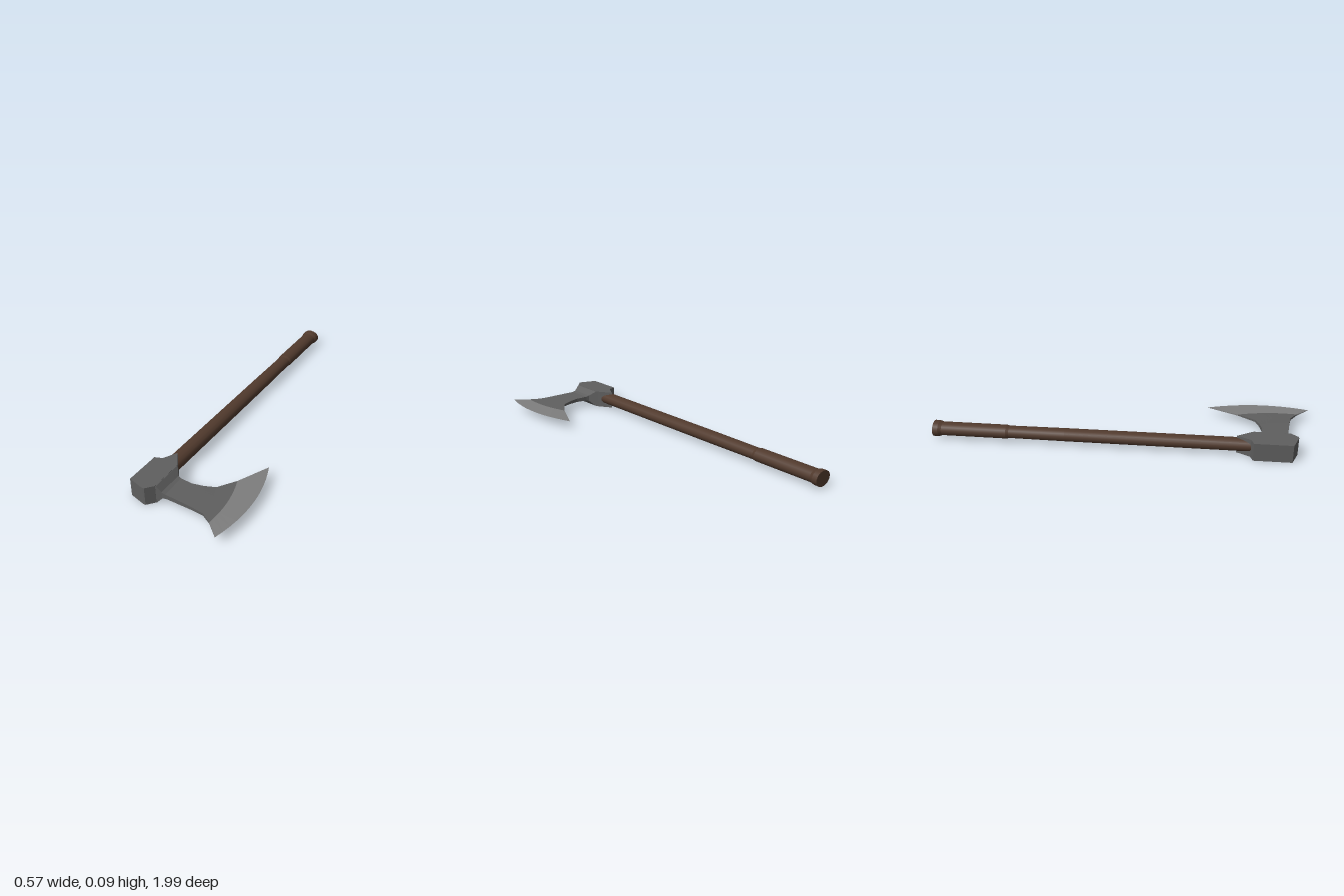
import * as THREE from 'three';

const MID_Y = 0.0475;   // half the thickness of the head
const SHAFT_X = -0.208; // centre line of the handle

// Blade cross-sections from neck to cutting edge:
// [back x, back z, front x, front z, outward bow, half thickness]
const ROWS = [
  [-0.166, 0.645, -0.152, 0.857, 0, 0.0475],
  [-0.148, 0.672, -0.146, 0.856, 0, 0.046],
  [-0.122, 0.708, -0.12, 0.852, 0, 0.018],
  [-0.105, 0.713, -0.1, 0.852, 0, 0.012],
  [-0.04, 0.722, -0.03, 0.86, 0, 0.0105],
  [0.02, 0.711, 0.05, 0.87, 0.004, 0.0085],
  [0.075, 0.69, 0.12, 0.883, 0.01, 0.006],
  [0.137, 0.6, 0.175, 0.92, 0.019, 0.0035],
  [0.217, 0.43, 0.245, 0.99, 0.049, 0],
];
const STEPS = 12;

// Closed skin over a run of cross-sections
function bladeGeometry(rows) {
  const pos = [];
  const point = ([bx, bz, fx, fz, bow, half], j, side) => {
    const t = j / STEPS;
    return [
      bx + (fx - bx) * t + 4 * t * (1 - t) * bow,
      MID_Y + side * half,
      bz + (fz - bz) * t,
    ];
  };
  const quad = (a, b, c, d) => pos.push(...a, ...b, ...c, ...a, ...c, ...d);
  for (let i = 0; i < rows.length - 1; i++) {
    const r = rows[i], n = rows[i + 1];
    for (let j = 0; j < STEPS; j++) {
      quad(point(r, j, 1), point(r, j + 1, 1), point(n, j + 1, 1), point(n, j, 1));
      quad(point(n, j, -1), point(n, j + 1, -1), point(r, j + 1, -1), point(r, j, -1));
    }
    // back and front walls
    quad(point(r, 0, -1), point(r, 0, 1), point(n, 0, 1), point(n, 0, -1));
    quad(point(n, STEPS, -1), point(n, STEPS, 1), point(r, STEPS, 1), point(r, STEPS, -1));
  }
  const geo = new THREE.BufferGeometry();
  geo.setAttribute('position', new THREE.Float32BufferAttribute(pos, 3));
  geo.computeVertexNormals();
  return geo;
}

export function createModel() {
  const model = new THREE.Group();
  model.name = 'axe';

  const wood = new THREE.MeshStandardMaterial({ name: 'brown wood', color: 0x513a2d });
  const steel = new THREE.MeshStandardMaterial({ name: 'dark steel', color: 0x5f5f5f });
  const edge = new THREE.MeshStandardMaterial({ name: 'ground steel', color: 0x7e7e7e });

  const add = (name, geo, mat, parent = model) => {
    const mesh = new THREE.Mesh(geo, mat);
    mesh.name = name;
    parent.add(mesh);
    return mesh;
  };

  // Handle: oval sections along z, [name, z start, z end, start radius, end radius]
  const handle = new THREE.Group();
  handle.name = 'handle';
  handle.position.set(SHAFT_X, 0.05, 0);
  model.add(handle);
  const sections = [
    ['pommel', -1, -0.972, 0.051, 0.05],
    ['pommelNeck', -0.972, -0.955, 0.05, 0.0435],
    ['grip', -0.955, -0.61, 0.0435, 0.0435],
    ['gripShoulder', -0.61, -0.595, 0.0435, 0.039],
    ['lowerShaft', -0.595, -0.3, 0.039, 0.041],
    ['upperShaft', -0.3, 0.8, 0.041, 0.042],
  ];
  for (const [name, z0, z1, r0, r1] of sections) {
    const geo = new THREE.CylinderGeometry(r1, r0, z1 - z0, 14);
    geo.rotateX(Math.PI / 2).scale(1, 0.8, 1).translate(0, 0, (z0 + z1) / 2);
    add(name, geo, wood, handle);
  }

  // Head block around the handle, with pointed lugs toward the grip
  const outline = [
    [-0.285, 0.667], [-0.245, 0.655], [-0.205, 0.585], [-0.165, 0.645], [-0.15, 0.67],
    [-0.15, 0.857], [-0.185, 0.895], [-0.197, 0.895], [-0.285, 0.863],
  ];
  const shape = new THREE.Shape(outline.map(([x, z]) => new THREE.Vector2(x, -z)));
  const block = new THREE.ExtrudeGeometry(shape, { depth: 2 * MID_Y, bevelEnabled: false });
  block.rotateX(-Math.PI / 2);
  add('headBlock', block, steel);

  // Blade body and its lighter ground edge
  add('blade', bladeGeometry(ROWS.slice(0, 8)), steel);
  add('cuttingEdge', bladeGeometry(ROWS.slice(7)), edge);

  return model;
}
